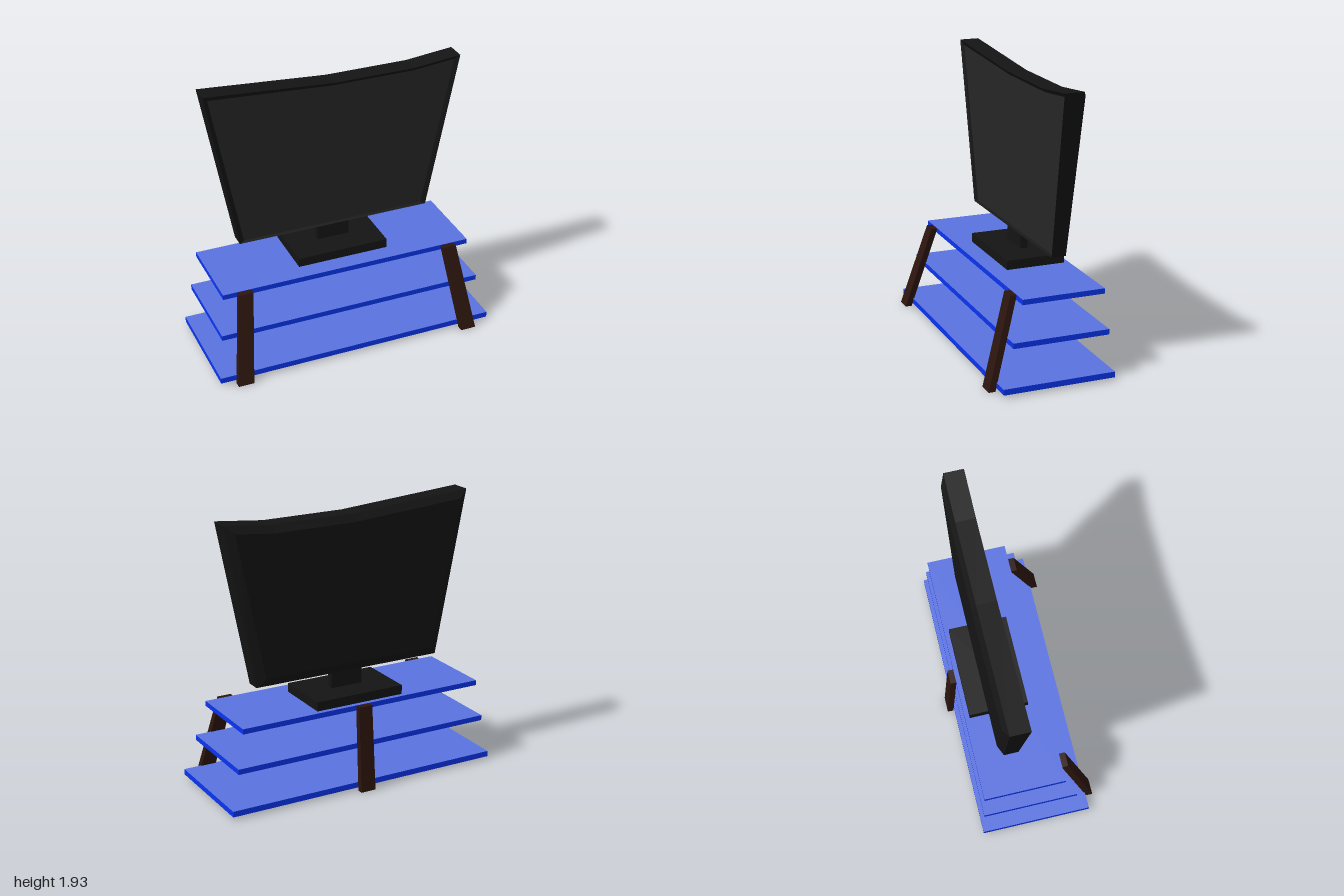
import * as THREE from 'three';

const mat = (color) => new THREE.MeshStandardMaterial({ color, flatShading: true });

// Box given by its min and max on each axis
function box(name, [x0, x1], [y0, y1], [z0, z1], material) {
  const mesh = new THREE.Mesh(new THREE.BoxGeometry(x1 - x0, y1 - y0, z1 - z0), material);
  mesh.position.set((x0 + x1) / 2, (y0 + y1) / 2, (z0 + z1) / 2);
  mesh.name = name;
  return mesh;
}

// Slanted leg: a box sheared from a foot centre to a top centre
function leg(name, foot, top, wFoot, wTop, depth, height, material) {
  const g = new THREE.BoxGeometry(1, height, depth).translate(0, height / 2, 0);
  const p = g.attributes.position;
  for (let i = 0; i < p.count; i++) {
    const t = p.getY(i) / height;
    p.setX(i, p.getX(i) * THREE.MathUtils.lerp(wFoot, wTop, t) + THREE.MathUtils.lerp(foot[0], top[0], t));
    p.setZ(i, p.getZ(i) + THREE.MathUtils.lerp(foot[1], top[1], t));
  }
  g.computeVertexNormals();
  const mesh = new THREE.Mesh(g, material);
  mesh.name = name;
  return mesh;
}

// Lift a 2D outline to 3D; depth runs from zBottom to zTop with height
const ring = (outline, zBottom, zTop) => outline.map(([x, y]) =>
  new THREE.Vector3(x, y, THREE.MathUtils.mapLinear(y, 0.785, 1.935, zBottom, zTop)));

function meshFromPoints(name, points, material) {
  const g = new THREE.BufferGeometry().setFromPoints(points);
  g.computeVertexNormals();
  const mesh = new THREE.Mesh(g, material);
  mesh.name = name;
  return mesh;
}

function cap(points, reversed) {
  const flat = points.map((p) => new THREE.Vector2(p.x, p.y));
  return THREE.ShapeUtils.triangulateShape(flat, [])
    .flatMap(([a, b, c]) => (reversed ? [a, c, b] : [a, b, c]).map((i) => points[i]));
}

// Flared screen with a dipping top edge, bevelled bezel and chamfered back
function television(black, glass) {
  const group = new THREE.Group();
  group.name = 'television';
  const outer = [[-0.68, 0.785], [0.705, 0.785], [0.92, 1.905], [0.58, 1.87], [0, 1.87], [-0.895, 1.935]];
  const inner = [[-0.645, 0.797], [0.675, 0.797], [0.885, 1.875], [0.58, 1.845], [0, 1.845], [-0.86, 1.9]];
  const rear = [[-0.625, 0.85], [0.65, 0.85], [0.855, 1.85], [0.58, 1.82], [0, 1.82], [-0.83, 1.88]];
  const rings = [
    ring(inner, -0.08, -0.062),
    ring(outer, -0.065, -0.045),
    ring(outer, -0.165, -0.182),
    ring(rear, -0.2, -0.215),
  ];
  const shell = [];
  for (let r = 0; r < rings.length - 1; r++) {
    const a = rings[r], b = rings[r + 1];
    for (let i = 0; i < a.length; i++) {
      const j = (i + 1) % a.length;
      shell.push(a[i], b[i], b[j], a[i], b[j], a[j]);
    }
  }
  shell.push(...cap(rings[3], true));
  group.add(meshFromPoints('televisionCasing', shell, black));
  group.add(meshFromPoints('screen', cap(rings[0], false), glass));
  return group;
}

export function createModel() {
  const model = new THREE.Group();
  model.name = 'televisionOnStand';
  const black = mat(0x131413);
  const glass = mat(0x262626);
  const wood = mat(0x2c150e);
  const edge = mat(0x0a34f0);
  const face = mat(0x5a72e0);

  // Three shelves, narrowing upwards, with darker blue edges
  const shelfMaterials = [edge, edge, face, face, edge, edge];
  [
    ['bottomShelf', [-1, 1], [0.02, 0.06], [-0.39, 0.385]],
    ['middleShelf', [-0.95, 0.945], [0.3, 0.337], [-0.37, 0.297]],
    ['topShelf', [-0.905, 0.9], [0.567, 0.603], [-0.355, 0.217]],
  ].forEach(([name, x, y, z]) => model.add(box(name, x, y, z, shelfMaterials)));

  // Two splayed front legs and one central back leg
  const legs = new THREE.Group();
  legs.name = 'legs';
  for (const s of [-1, 1]) {
    legs.add(leg(s > 0 ? 'frontLegLeft' : 'frontLegRight',
      [s * 0.834 - 0.006, 0.418], [s * 0.75 - 0.006, 0.236], 0.11, 0.1, 0.046, 0.6, wood));
  }
  legs.add(leg('backLeg', [0.012, -0.418], [0.012, -0.375], 0.11, 0.1, 0.042, 0.6, wood));
  model.add(legs);

  // Pedestal
  model.add(box('pedestalBase', [-0.315, 0.338], [0.603, 0.667], [-0.322, 0.093], black));
  model.add(box('pedestalNeck', [-0.105, 0.13], [0.66, 0.81], [-0.14, -0.09], black));

  model.add(television(black, glass));
  return model;
}
